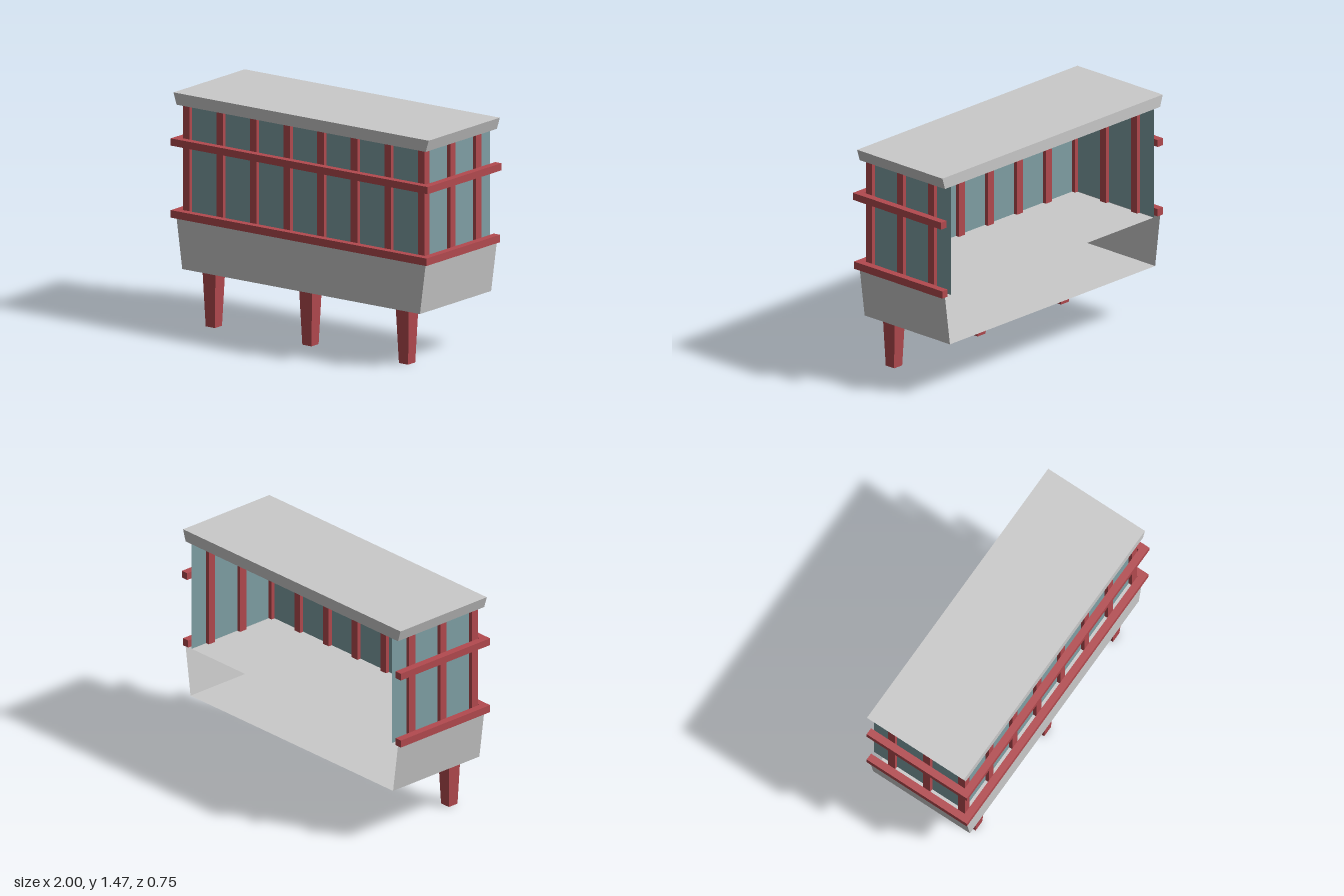
import * as THREE from 'three';

export function createModel() {
  const model = new THREE.Group();
  model.name = 'bayWindow';

  const grey = new THREE.MeshStandardMaterial({ color: 0xcacaca, side: THREE.DoubleSide });
  grey.name = 'pale grey';
  const glass = new THREE.MeshStandardMaterial({ color: 0x80a0a5, side: THREE.DoubleSide });
  glass.name = 'blue grey glass';
  const red = new THREE.MeshStandardMaterial({ color: 0xb34a4f });
  red.name = 'muted red';

  const CX = -0.004;            // centre line of the body
  const BACK = -0.375, FRONT = 0.35;

  const add = (name, geometry, material, parent = model) => {
    const mesh = new THREE.Mesh(geometry, material);
    mesh.name = name;
    parent.add(mesh);
    return mesh;
  };
  const group = (name) => {
    const g = new THREE.Group();
    g.name = name;
    model.add(g);
    return g;
  };
  // box given by its lower and upper limits
  const box = (name, material, parent, x0, x1, y0, y1, z0, z1) => {
    const g = new THREE.BoxGeometry(x1 - x0, y1 - y0, z1 - z0);
    g.translate((x0 + x1) / 2, (y0 + y1) / 2, (z0 + z1) / 2);
    return add(name, g, material, parent);
  };
  // single flat face, corners counter-clockwise seen from outside
  const quad = (name, material, parent, ...corners) => {
    const g = new THREE.BufferGeometry();
    g.setAttribute('position', new THREE.Float32BufferAttribute(corners.flat(), 3));
    g.setIndex([0, 1, 2, 0, 2, 3]);
    g.computeVertexNormals();
    return add(name, g, material, parent);
  };
  // upright trapezoid that is wider at the top
  const trapezoid = (wBottom, wTop, y0, y1) => new THREE.Shape([
    new THREE.Vector2(CX - wBottom, y0), new THREE.Vector2(CX + wBottom, y0),
    new THREE.Vector2(CX + wTop, y1), new THREE.Vector2(CX - wTop, y1),
  ]);

  // roof slab with ends sloping outwards
  const roof = new THREE.ExtrudeGeometry(trapezoid(0.97, 0.993, 1.397, 1.472),
    { depth: FRONT - BACK, bevelEnabled: false });
  roof.translate(0, 0, BACK);
  add('roof', roof, grey);

  // hollow base, open at the back
  const base = group('base');
  const Y0 = 0.355, Y1 = 0.68, WB = 0.925, WT = 0.97;
  const front = new THREE.ShapeGeometry(trapezoid(WB, WT, Y0, Y1));
  front.translate(0, 0, FRONT);
  add('baseFront', front, grey, base);
  quad('baseBottom', grey, base, [CX - WB, Y0, BACK], [CX + WB, Y0, BACK],
    [CX + WB, Y0, FRONT], [CX - WB, Y0, FRONT]);
  quad('windowFloor', grey, base, [CX - 0.91, Y1, FRONT], [CX + 0.91, Y1, FRONT],
    [CX + 0.91, Y1, BACK], [CX - 0.91, Y1, BACK]);
  quad('baseLeft', grey, base, [CX + WB, Y0, FRONT], [CX + WB, Y0, BACK],
    [CX + WT, Y1, BACK], [CX + WT, Y1, FRONT]);
  quad('baseRight', grey, base, [CX - WB, Y0, BACK], [CX - WB, Y0, FRONT],
    [CX - WT, Y1, FRONT], [CX - WT, Y1, BACK]);

  // glass on three sides
  const GX = 0.915, GZ = 0.298, TOP = 1.397;
  const panes = group('glazing');
  quad('frontGlass', glass, panes, [CX - GX, Y1, GZ], [CX + GX, Y1, GZ],
    [CX + GX, TOP, GZ], [CX - GX, TOP, GZ]);
  quad('leftGlass', glass, panes, [CX + GX, Y1, GZ], [CX + GX, Y1, BACK],
    [CX + GX, TOP, BACK], [CX + GX, TOP, GZ]);
  quad('rightGlass', glass, panes, [CX - GX, Y1, BACK], [CX - GX, Y1, GZ],
    [CX - GX, TOP, GZ], [CX - GX, TOP, BACK]);

  // upright posts, front row then the two sides
  const posts = group('posts');
  const H = 0.026, STEP = GX * 2 / 7;
  const post = (x, z) => box('post', red, posts, x - H, x + H, Y1, TOP, z - H, z + H);
  for (let i = 0; i < 8; i++) post(CX - GX + i * STEP, GZ);
  for (const s of [-1, 1]) {
    for (let i = 1; i < 3; i++) post(CX + s * GX, GZ - i * 0.263);
  }

  // rails wrapping the front and both sides
  const rails = group('rails');
  const T = 0.048;
  for (const [y0, y1, right, left] of [[0.677, 0.725, -1, 0.99], [1.137, 1.183, -1, 1]]) {
    box('frontRail', red, rails, right, left, y0, y1, 0.375 - T, 0.375);
    box('rightRail', red, rails, right, right + T, y0, y1, BACK, 0.375 - T);
    box('leftRail', red, rails, left - T, left, y0, y1, BACK, 0.375 - T);
  }

  // tapered square legs in one row
  const legs = group('legs');
  const legGeometry = new THREE.CylinderGeometry(0.05 * Math.SQRT2, 0.036 * Math.SQRT2, Y0, 4)
    .toNonIndexed();
  legGeometry.rotateY(Math.PI / 4);
  legGeometry.computeVertexNormals();
  for (const x of [-0.752, 0, 0.752]) {
    add('leg', legGeometry, red, legs).position.set(x, Y0 / 2, 0.26);
  }

  return model;
}
